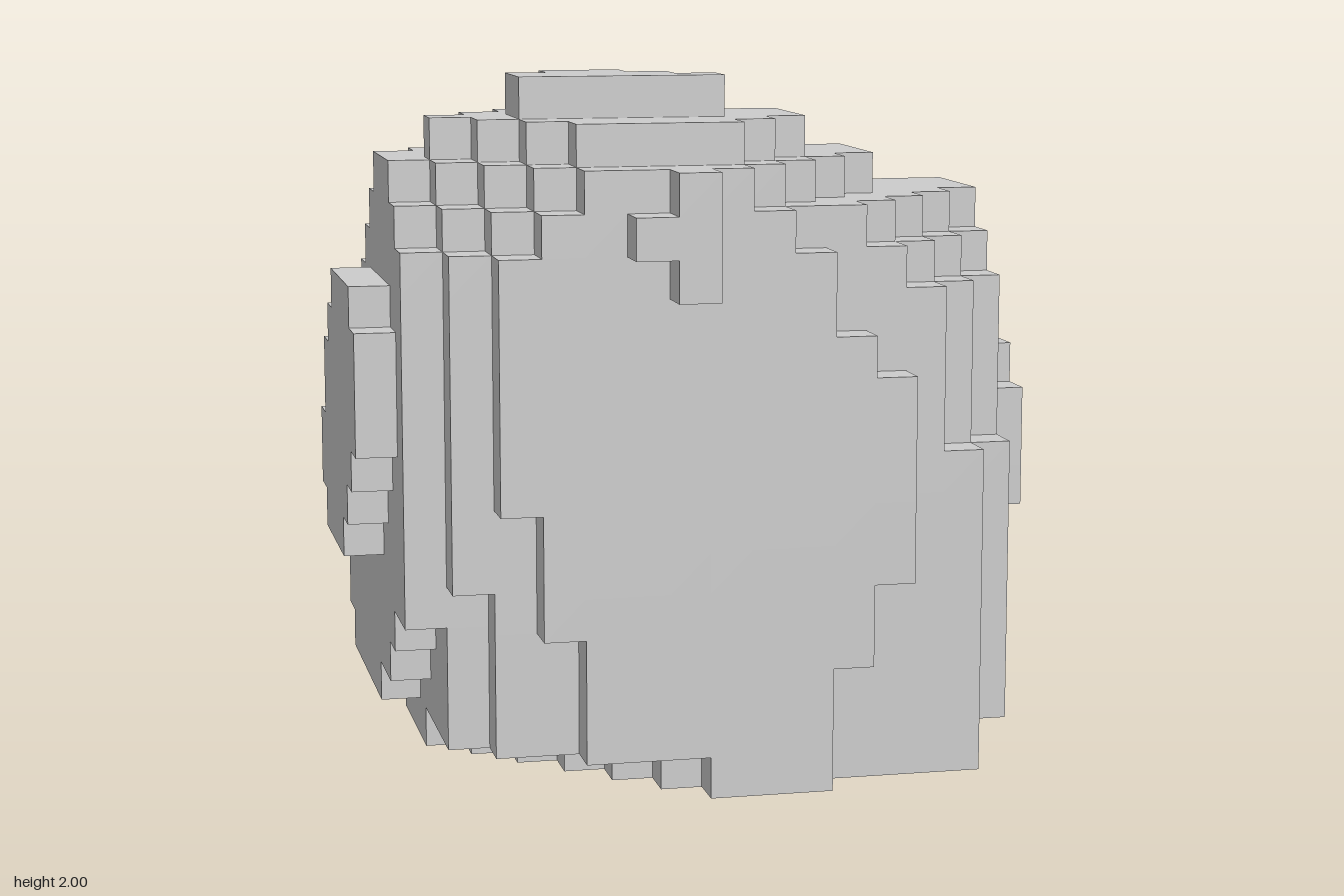
import * as THREE from 'three';

const N = [17, 17, 16];      // blocks along x, y, z
const S = 2 / 17;            // block size

// Chamfers that cut the block pile, in block steps: a*x + b*y + c*z <= d
const CUTS = [
  // crown
  [0, 2.4, -1, 29.6], [0, 2, 1, 43], [-1, 2, 0, 28], [1, 2.3, 0, 45],
  [1, 4, -1.5, 56.5], [-1, 2.4, -1, 24.9],
  // shoulders
  [-1, 0.6, -0.8, 1.6], [0.8, 0.75, -1, 16.35], [1, 1.2, 1, 39.7], [-1, 1, 1, 23],
  // upright front corners
  [-1, -0.28, 1.65, 18.2], [-1, 0, 1, 11], [1, -0.4, 4, 66], [1, 0.7, 3, 60.4],
  [1, 0, 2, 40], [1, 0.1, 1, 27.7],
  // flanks
  [10, -1, -1, 139], [5, 0.4, -1, 73.8], [-4, -1, 0.7, 0.4],
  // foot
  [0, -1, -1, -2], [-1, -1, 0, -2], [1, -1, 0, 14],
  [-1, -8, -2, -12], [-1, -4, 1, 6],
];

// Small knobs standing proud: lowest block, highest block
const KNOBS = [
  [[7, 3, 0], [7, 5, 0]],       // back post
  [[11, 6, 0], [11, 7, 0]],     // back lump
  [[10, 6, 0], [10, 8, 0]],
  [[9, 7, 0], [9, 8, 0]],
  [[15, 2, 1], [15, 5, 1]],     // rear corner
  [[7, 12, 15], [7, 14, 15]],   // front horn
  [[6, 13, 15], [6, 13, 15]],
];

// Notches along the foot
const NOTCHES = [
  [[6, 0, 1], [7, 1, 1]],
  [[14, 0, 6], [14, 0, 8]],
];

const inOval = (u, v, ru, rv) => (u / ru) ** 2 + (v / rv) ** 2 <= 1;
const inBoxes = (p, boxes) =>
  boxes.some(([lo, hi]) => p.every((v, a) => v >= lo[a] && v <= hi[a]));

function solid(p) {
  const [x, y, z] = p;
  if (inBoxes(p, KNOBS)) return true;
  if (inBoxes(p, NOTCHES)) return false;
  // leaning oval plates on the two flanks
  if (x === 16) return inOval(z - 7.9 + 0.1 * (y - 7.4), y - 7.4, 2.6, 2.8);
  if (x === 0) return inOval(z - 7.6, y - 8 - 0.4 * (z - 7.6), 3.9, 3.3);
  // main mass
  return x > 0 && x < 16 && y >= 0 && y < N[1] && z > 0 && z < 15 &&
    CUTS.every(([a, b, c, d]) => a * x + b * y + c * z <= d + 1e-6);
}

// Skin of the block pile: one square wherever a block meets open air
function blockSkin() {
  const position = [], normal = [], index = [];
  const addFace = (p, axis, dir) => {
    const u = (axis + 1) % 3, v = (axis + 2) % 3, base = position.length / 3;
    for (const [a, b] of [[0, 0], [1, 0], [1, 1], [0, 1]]) {
      const c = [...p], n = [0, 0, 0];
      c[axis] += dir > 0 ? 1 : 0;
      c[u] += a;
      c[v] += b;
      n[axis] = dir;
      position.push((c[0] - N[0] / 2) * S, c[1] * S, (c[2] - N[2] / 2) * S);
      normal.push(...n);
    }
    const order = dir > 0 ? [0, 1, 2, 0, 2, 3] : [0, 2, 1, 0, 3, 2];
    index.push(...order.map((o) => base + o));
  };
  for (let x = 0; x < N[0]; x++) for (let y = 0; y < N[1]; y++) for (let z = 0; z < N[2]; z++) {
    const p = [x, y, z];
    if (!solid(p)) continue;
    for (let axis = 0; axis < 3; axis++) for (const dir of [-1, 1]) {
      const q = [...p];
      q[axis] += dir;
      if (!solid(q)) addFace(p, axis, dir);
    }
  }
  const g = new THREE.BufferGeometry();
  g.setAttribute('position', new THREE.Float32BufferAttribute(position, 3));
  g.setAttribute('normal', new THREE.Float32BufferAttribute(normal, 3));
  g.setIndex(index);
  return g;
}

export function createModel() {
  const group = new THREE.Group();
  group.name = 'blockBoulder';
  const boulder = new THREE.Mesh(
    blockSkin(),
    new THREE.MeshStandardMaterial({ color: 0xcccccc, flatShading: true })
  );
  boulder.name = 'boulder';
  group.add(boulder);
  return group;
}
